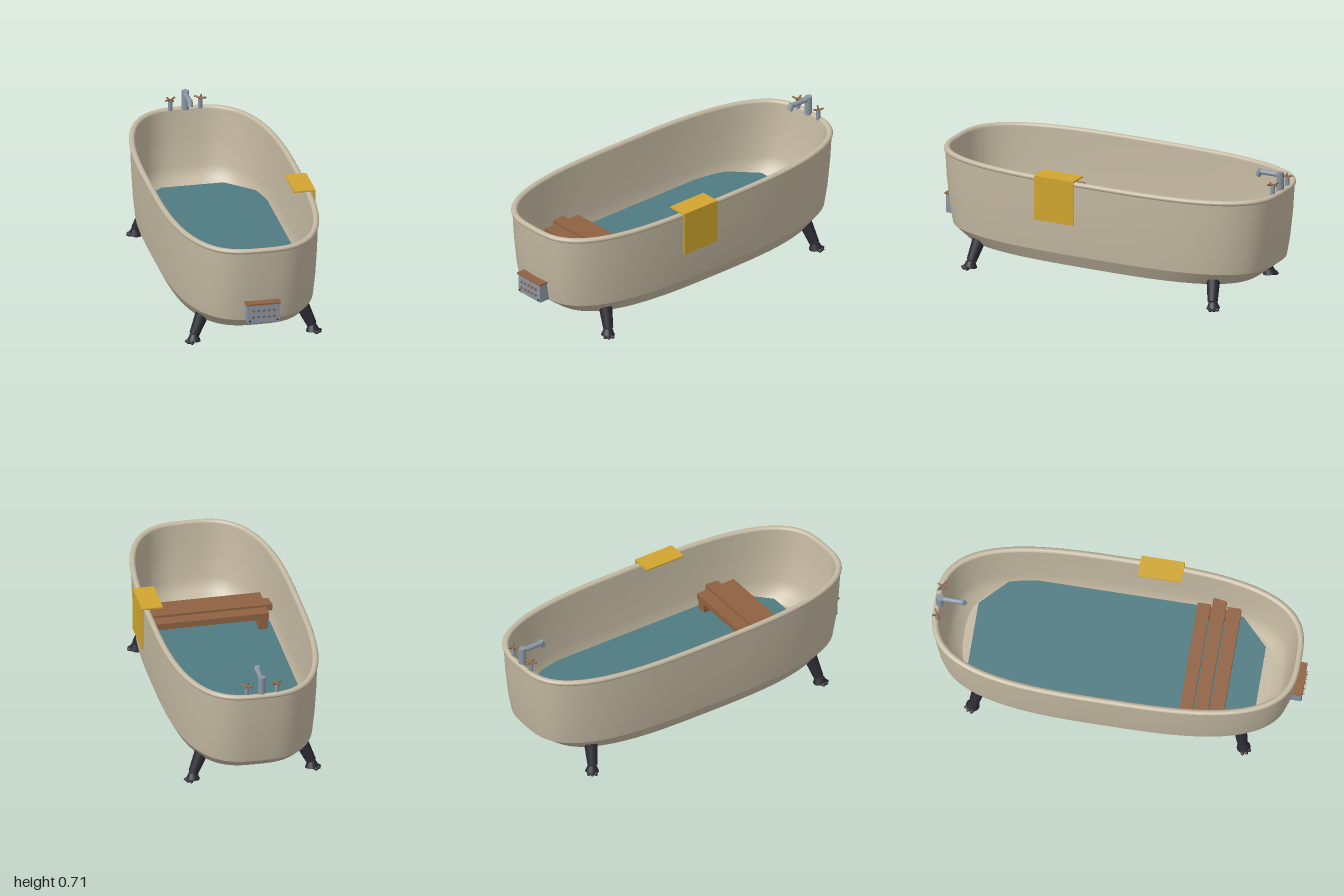
import * as THREE from 'three';

const mat = (name, color) => {
  const m = new THREE.MeshStandardMaterial({ color });
  m.name = name;
  return m;
};

export function createModel() {
  const model = new THREE.Group();
  model.name = 'bathtub';
  const enamel = mat('cream enamel', 0xc3b8a1);
  const teal = mat('teal water', 0x4f7b82);
  const gold = mat('gold cloth', 0xd0a52f);
  const wood = mat('brown wood', 0x8f6242);
  const steel = mat('grey steel', 0x8a96a3);
  const iron = mat('dark iron', 0x2b2a33);

  const CX = -0.008, CZ = -0.01; // tub centre

  const add = (name, geo, material, pos = [0, 0, 0], parent = model) => {
    const m = new THREE.Mesh(geo, material);
    m.name = name;
    m.position.set(...pos);
    parent.add(m);
    return m;
  };
  const box = (name, material, x0, x1, y0, y1, z0, z1, parent) =>
    add(name, new THREE.BoxGeometry(x1 - x0, y1 - y0, z1 - z0), material,
      [(x0 + x1) / 2, (y0 + y1) / 2, (z0 + z1) / 2], parent);

  // Tapered round bar between two points
  const rod = (name, material, a, b, ra, rb, sides = 16, parent = model) => {
    const A = new THREE.Vector3(...a), B = new THREE.Vector3(...b);
    const m = add(name, new THREE.CylinderGeometry(rb, ra, A.distanceTo(B), sides), material,
      A.clone().add(B).multiplyScalar(0.5).toArray(), parent);
    m.quaternion.setFromUnitVectors(new THREE.Vector3(0, 1, 0), B.sub(A).normalize());
    return m;
  };

  // Smooth skin through rounded-oval rings [y, half width, half length]
  const SEG = 96;
  const loft = (name, rings) => {
    const pos = [], index = [];
    rings.forEach(([y, hx, hz]) => {
      for (let i = 0; i < SEG; i++) {
        const t = (i / SEG) * Math.PI * 2, c = Math.cos(t), s = Math.sin(t);
        pos.push(CX + hx * Math.sign(c) * Math.abs(c) ** (2 / 3), y,
          CZ + hz * Math.sign(s) * Math.abs(s) ** (2 / 3));
      }
    });
    for (let r = 0; r < rings.length - 1; r++) {
      for (let i = 0; i < SEG; i++) {
        const a = r * SEG + i, b = r * SEG + (i + 1) % SEG;
        index.push(a, a + SEG, b, b, a + SEG, b + SEG);
      }
    }
    const g = new THREE.BufferGeometry();
    g.setAttribute('position', new THREE.Float32BufferAttribute(pos, 3));
    g.setIndex(index);
    g.computeVertexNormals();
    add(name, g, enamel);
  };

  // Tub shell: each sharp edge starts a new skin
  loft('tubUnderside', [[0.125, 0.001, 0.001], [0.125, 0.355, 0.845]]);
  loft('tubLowerBevel', [[0.125, 0.355, 0.845], [0.195, 0.39, 0.935]]);
  loft('tubOuterWall', [[0.195, 0.39, 0.935], [0.3, 0.4, 0.953], [0.45, 0.408, 0.969], [0.592, 0.412, 0.978]]);
  const rim = [];
  for (let i = 0; i <= 12; i++) {
    const t = -Math.PI / 2 + (i / 12) * Math.PI * 1.5;
    rim.push([0.602 + 0.014 * Math.sin(t), 0.402 + 0.016 * Math.cos(t), 0.969 + 0.016 * Math.cos(t)]);
  }
  loft('tubRim', rim);
  loft('tubInnerWall', [[0.602, 0.386, 0.953], [0.45, 0.381, 0.935], [0.3, 0.372, 0.905], [0.24, 0.365, 0.875], [0.2, 0.35, 0.825]]);
  loft('tubInnerFloor', [[0.2, 0.35, 0.825], [0.2, 0.001, 0.001]]);

  // Water: thin eight-sided sheet
  const w = new THREE.Shape([
    [-0.17, -0.77], [0.17, -0.77], [0.345, -0.6], [0.345, 0.6],
    [0.17, 0.77], [-0.17, 0.77], [-0.345, 0.6], [-0.345, -0.6],
  ].map(([x, y]) => new THREE.Vector2(x, y)));
  add('water', new THREE.ExtrudeGeometry(w, { depth: 0.008, bevelEnabled: false }).rotateX(-Math.PI / 2),
    teal, [-0.01, 0.234, -0.015]);

  // Slatted seat across the tub
  const bench = new THREE.Group();
  bench.name = 'benchSeat';
  model.add(bench);
  box('backSlat', wood, -0.332, 0.315, 0.305, 0.34, 0.365, 0.435, bench);
  box('middleSlat', wood, -0.37, 0.352, 0.312, 0.348, 0.443, 0.517, bench);
  box('frontSlat', wood, -0.332, 0.315, 0.305, 0.34, 0.525, 0.6, bench);
  for (const s of [-1, 1]) {
    const x = CX + s * 0.295;
    box('seatSupport', wood, x - 0.025, x + 0.025, 0.21, 0.306, 0.375, 0.59, bench);
  }

  // Cloth folded over the rim
  box('towelTop', gold, 0.31, 0.425, 0.616, 0.624, 0.045, 0.278);
  box('towelDrop', gold, 0.417, 0.425, 0.38, 0.62, 0.045, 0.278);

  // Tap: post, spout and downturned nozzle
  const tap = new THREE.Group();
  tap.name = 'tap';
  model.add(tap);
  rod('tapPost', steel, [-0.01, 0.605, -0.965], [-0.01, 0.71, -0.965], 0.02, 0.02, 20, tap);
  rod('tapSpout', steel, [-0.01, 0.695, -0.965], [-0.01, 0.695, -0.845], 0.014, 0.014, 16, tap);
  rod('tapNozzle', steel, [-0.01, 0.706, -0.85], [-0.01, 0.672, -0.833], 0.015, 0.015, 16, tap);

  // Two valves with crossed wing handles
  for (const s of [-1, 1]) {
    const valve = new THREE.Group();
    valve.name = s < 0 ? 'rightValve' : 'leftValve';
    valve.position.set(-0.01 + s * 0.081, 0, -0.965);
    model.add(valve);
    rod('valvePost', steel, [0, 0.605, 0], [0, 0.662, 0], 0.012, 0.012, 16, valve);
    for (const k of [-1, 1]) {
      rod('valveWing', wood, [0, 0.661, 0], [k * 0.028, 0.669, k * s * 0.018], 0.005, 0.005, 8, valve);
      rod('valveCrossWing', wood, [0, 0.661, 0], [k * 0.012, 0.667, -k * s * 0.026], 0.005, 0.005, 8, valve);
    }
  }

  // Control box on the front with wooden lid, ringed holes and screws
  const panel = new THREE.Group();
  panel.name = 'controlBox';
  model.add(panel);
  box('boxBody', steel, -0.097, 0.077, 0.2, 0.302, 0.9, 0.986, panel);
  box('boxLid', wood, -0.104, 0.083, 0.302, 0.311, 0.9, 0.992, panel);
  for (let c = 0; c < 5; c++) {
    for (const y of [0.234, 0.27]) {
      const x = -0.01 + (c - 2) * 0.028;
      add('holeRing', new THREE.TorusGeometry(0.0055, 0.0025, 8, 16), wood, [x, y, 0.989], panel);
      rod('holeKnob', iron, [x, y, 0.98], [x, y, 0.99], 0.005, 0.005, 12, panel);
      rod('holePin', wood, [x, y, 0.98], [x, y, 1], 0.0025, 0.0025, 8, panel);
    }
  }
  for (const x of [-0.084, 0.064]) rod('boxScrew', iron, [x, 0.212, 0.98], [x, 0.212, 0.989], 0.005, 0.005, 10, panel);

  // Splayed legs with clawed feet
  for (const sx of [-1, 1]) {
    for (const sz of [-1, 1]) {
      const leg = new THREE.Group();
      leg.name = (sz > 0 ? 'front' : 'back') + (sx > 0 ? 'Left' : 'Right') + 'Leg';
      leg.position.set(CX, 0, CZ);
      model.add(leg);
      const p = (x, y, z) => [sx * x, y, sz * z];
      rod('legShaft', iron, p(0.272, 0.148, 0.7), p(0.318, 0.045, 0.72), 0.036, 0.027, 16, leg);
      rod('footCone', iron, p(0.32, 0.046, 0.722), p(0.322, 0.01, 0.726), 0.022, 0.037, 16, leg);
      for (const a of [-0.55, 0, 0.55]) {
        const dx = Math.cos(0.6 + a), dz = Math.sin(0.6 + a);
        const toe = add('toe', new THREE.SphereGeometry(1, 12, 8), iron,
          p(0.322 + dx * 0.028, 0.0105, 0.724 + dz * 0.028), leg);
        toe.scale.set(0.022, 0.0105, 0.011);
        toe.rotation.y = Math.atan2(-sz * dz, sx * dx);
      }
    }
  }
  return model;
}
